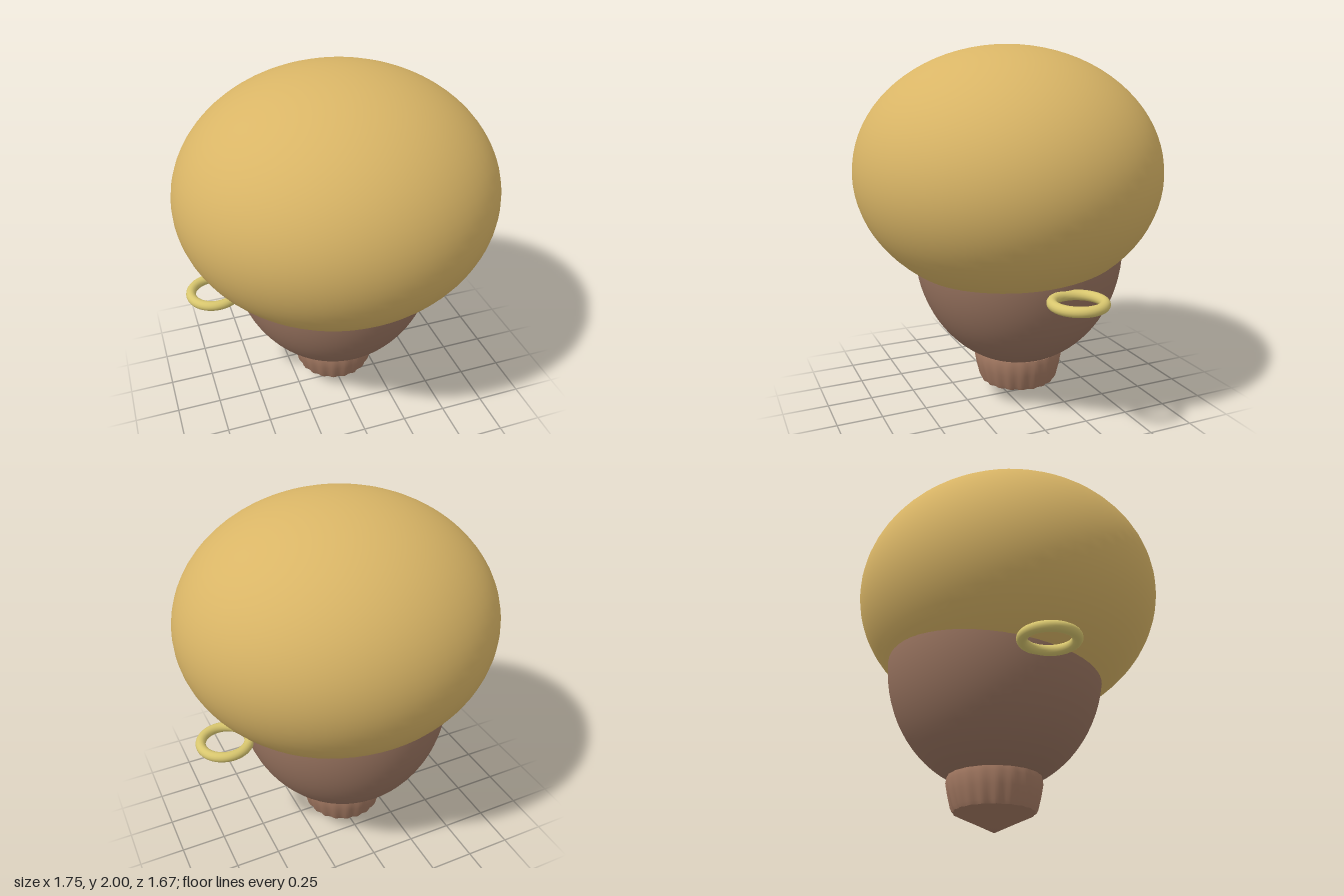
import * as THREE from 'three';
import { toCreasedNormals } from 'three/addons/utils/BufferGeometryUtils.js';

const HEAD_Z = -0.07;

const material = (name, color) => {
  const m = new THREE.MeshStandardMaterial({ color });
  m.name = name;
  return m;
};

function ellipsoid(name, mat, radii, y, z) {
  const geo = new THREE.SphereGeometry(1, 64, 40).scale(...radii);
  const mesh = new THREE.Mesh(geo, mat);
  mesh.name = name;
  mesh.position.set(0, y, z);
  return mesh;
}

// Tapered neck whose flutes deepen towards the lower rim, closed by a shallow point
function neckGeometry() {
  const profile = [[0, 0], [0.11, 0.052], [0.215, 0.1], [0.225, 0.12], [0.242, 0.19], [0.253, 0.25], [0.247, 0.28], [0, 0.28]]
    .map(([r, y]) => new THREE.Vector2(r, y));
  const geo = new THREE.LatheGeometry(profile, 120);
  const pos = geo.attributes.position;
  for (let i = 0; i < pos.count; i++) {
    const x = pos.getX(i), y = pos.getY(i), z = pos.getZ(i);
    const depth = 0.012 + 0.03 * THREE.MathUtils.clamp((0.26 - y) / 0.15, 0, 1);
    const s = 1 - depth * (0.5 - 0.5 * Math.cos(20 * Math.atan2(x, z)));
    pos.setXYZ(i, x * s, y, z * s);
  }
  return toCreasedNormals(geo, 0.6);
}

export function createModel() {
  const hairMat = material('golden hair', 0xd9b566);
  const skinMat = material('brown skin', 0x98735f);
  const neckMat = material('warm brown neck', 0xa27861);
  const goldMat = material('pale gold', 0xd8c66e);

  const model = new THREE.Group();
  model.name = 'bust';

  // Big rounded hair over an egg-shaped head
  model.add(ellipsoid('hair', hairMat, [0.875, 0.68, 0.835], 1.32, 0));
  model.add(ellipsoid('head', skinMat, [0.585, 0.67, 0.585], 0.89, HEAD_Z));

  const neck = new THREE.Mesh(neckGeometry(), neckMat);
  neck.name = 'neck';
  neck.position.z = HEAD_Z;
  model.add(neck);

  // Flat hoops at both sides
  const hoop = new THREE.TorusGeometry(0.13, 0.027, 16, 48).rotateX(Math.PI / 2);
  for (const [name, side] of [['leftEarring', 1], ['rightEarring', -1]]) {
    const ring = new THREE.Mesh(hoop, goldMat);
    ring.name = name;
    ring.position.set(side * 0.7, 0.765, HEAD_Z);
    model.add(ring);
  }
  return model;
}
